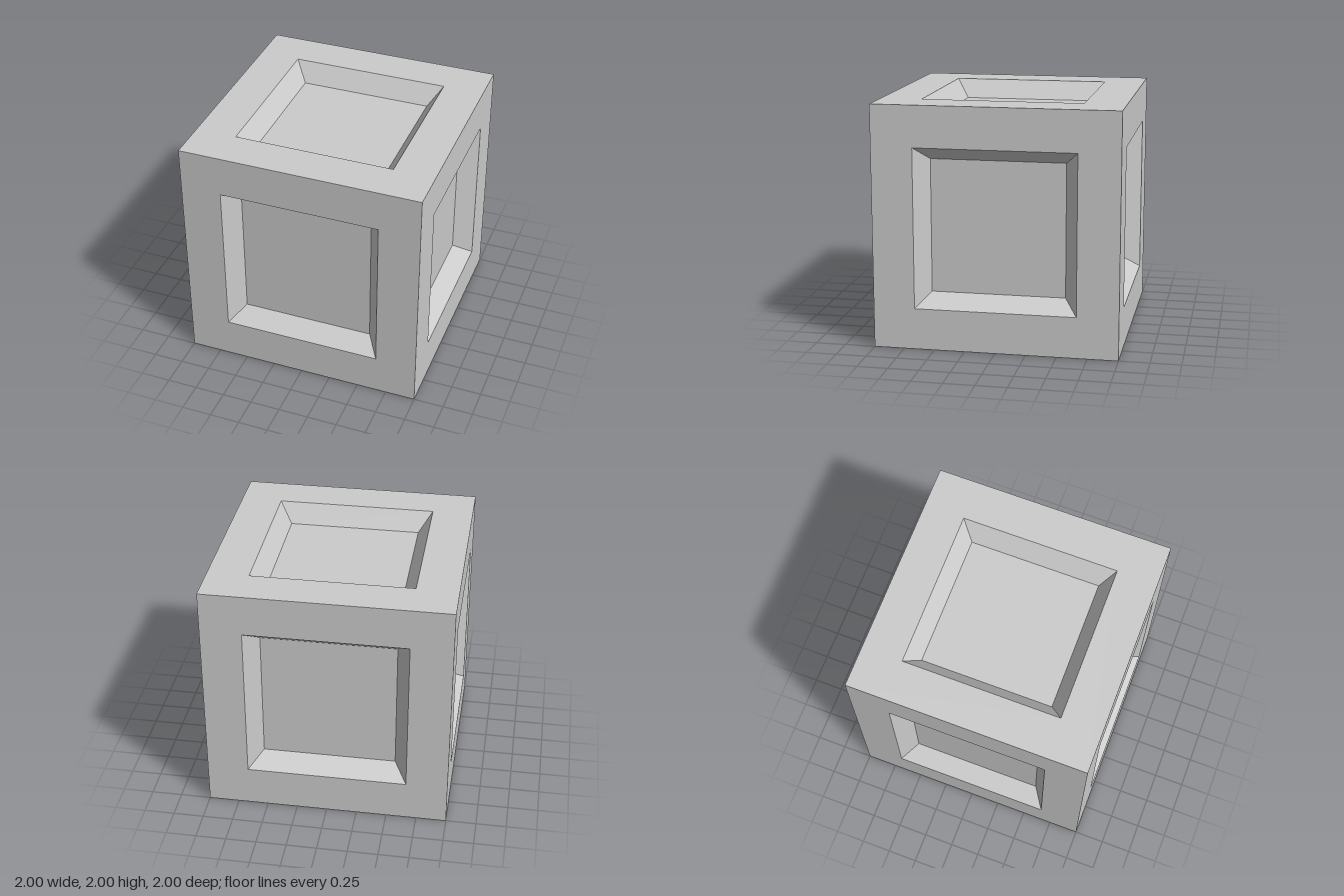
import * as THREE from 'three';

const HALF = 1;        // half the cube's edge
const RIM = 0.66;      // half width of the opening
const PANEL = 0.55;    // half width of the recessed panel
const DEPTH = 0.155;   // how far the panel is sunk

// Four quads joining two concentric squares, facing +z
function squareRing(outer, zOuter, inner, zInner) {
  const corners = [[-1, -1], [1, -1], [1, 1], [-1, 1]];
  const positions = [];
  corners.forEach(([ax, ay], i) => {
    const [bx, by] = corners[(i + 1) % 4];
    const a = [ax * outer, ay * outer, zOuter];
    const b = [bx * outer, by * outer, zOuter];
    const c = [bx * inner, by * inner, zInner];
    const d = [ax * inner, ay * inner, zInner];
    positions.push(...a, ...b, ...c, ...a, ...c, ...d);
  });
  const geometry = new THREE.BufferGeometry();
  geometry.setAttribute('position', new THREE.Float32BufferAttribute(positions, 3));
  geometry.computeVertexNormals();
  return geometry;
}

export function createModel() {
  const model = new THREE.Group();
  model.name = 'panelledCube';
  const material = new THREE.MeshStandardMaterial({ color: 0xcccccc, flatShading: true });

  // Flat border, sloping walls and sunken panel shared by all six sides
  const floor = HALF - DEPTH;
  const parts = {
    frame: squareRing(HALF, HALF, RIM, HALF),
    slopedWalls: squareRing(RIM, HALF, PANEL, floor),
    recessedPanel: new THREE.PlaneGeometry(2 * PANEL, 2 * PANEL).translate(0, 0, floor),
  };

  // Turn about x and y for each side
  const q = Math.PI / 2;
  const sides = {
    front: [0, 0], left: [0, q], back: [0, 2 * q], right: [0, -q],
    top: [-q, 0], bottom: [q, 0],
  };
  for (const [sideName, [rx, ry]] of Object.entries(sides)) {
    const side = new THREE.Group();
    side.name = sideName + 'Side';
    for (const [partName, geometry] of Object.entries(parts)) {
      const mesh = new THREE.Mesh(geometry, material);
      mesh.name = partName;
      side.add(mesh);
    }
    side.rotation.set(rx, ry, 0);
    side.position.y = HALF;
    model.add(side);
  }
  return model;
}
